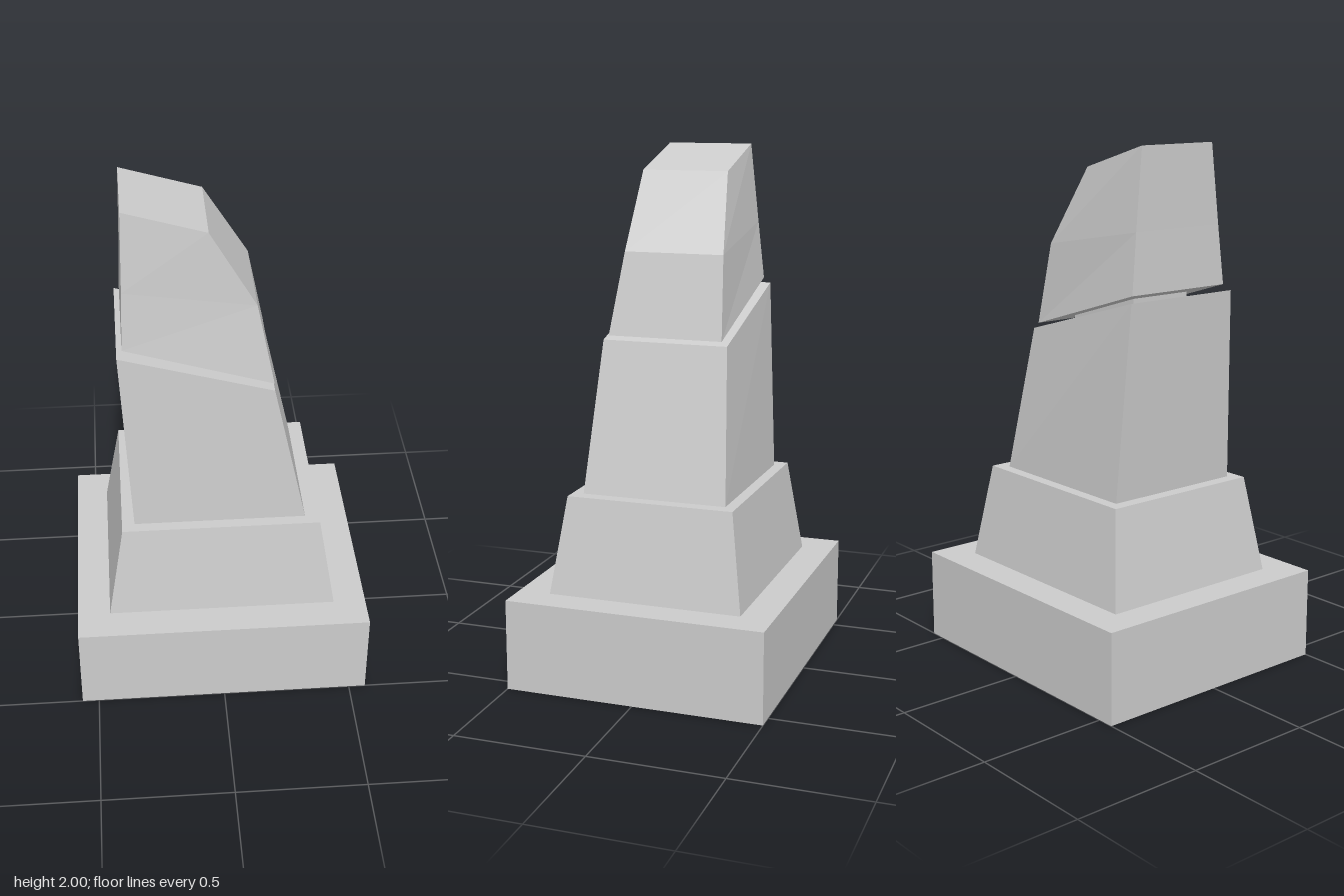
import * as THREE from 'three';

const material = new THREE.MeshStandardMaterial({ color: 0xcccccc, flatShading: true });

// One level of a block: sloping from (xl, yl) on the right to (xr, yr) on the left.
// zl is the half depth at xl; zf and zb are the front and back depths at xr.
const ring = (xl, yl, xr, yr, zl, zf = zl, zb = zf) => [
  [xl, yl, zl], [xr, yr, zf], [xr, yr, -zb], [xl, yl, -zl],
];

// Joins four-cornered rings from bottom to top into a closed, faceted block
function block(name, rings) {
  const index = [2, 1, 0, 3, 2, 0];
  for (let r = 0; r < rings.length - 1; r++) {
    for (let i = 0; i < 4; i++) {
      const a = r * 4 + i, b = r * 4 + (i + 1) % 4;
      index.push(a, b, b + 4, a, b + 4, a + 4);
    }
  }
  const t = (rings.length - 1) * 4;
  index.push(t, t + 1, t + 2, t, t + 2, t + 3);

  const indexed = new THREE.BufferGeometry();
  indexed.setAttribute('position', new THREE.Float32BufferAttribute(rings.flat(2), 3));
  indexed.setIndex(index);
  const geometry = indexed.toNonIndexed();
  geometry.computeVertexNormals();
  const mesh = new THREE.Mesh(geometry, material);
  mesh.name = name;
  return mesh;
}

export function createModel() {
  const model = new THREE.Group();
  model.name = 'brokenObelisk';

  // Square-cut foot
  const base = new THREE.Mesh(new THREE.BoxGeometry(1.13, 0.35, 1), material);
  base.name = 'base';
  base.position.y = 0.175;

  model.add(
    base,
    // Tapered step on the foot
    block('plinth', [
      ring(-0.44, 0.35, 0.44, 0.35, 0.375),
      ring(-0.378, 0.72, 0.378, 0.72, 0.323),
    ]),
    // Leaning shaft with a slanted top
    block('shaft', [
      ring(-0.33, 0.72, 0.325, 0.72, 0.28),
      ring(-0.37, 1.455, 0.2, 1.29, 0.243),
    ]),
    // Small inset core bridging the gap
    block('core', [
      ring(-0.25, 1.41, 0.09, 1.312, 0.13),
      ring(-0.25, 1.455, 0.09, 1.35, 0.13),
    ]),
    // Broken upper piece with a bent left side
    block('upperShaft', [
      ring(-0.35, 1.477, 0.2, 1.307, 0.222),
      ring(-0.343, 1.7, 0.137, 1.617, 0.199, 0.179, 0.207),
      ring(-0.337, 2, -0.035, 1.91, 0.168),
    ]),
  );
  return model;
}
